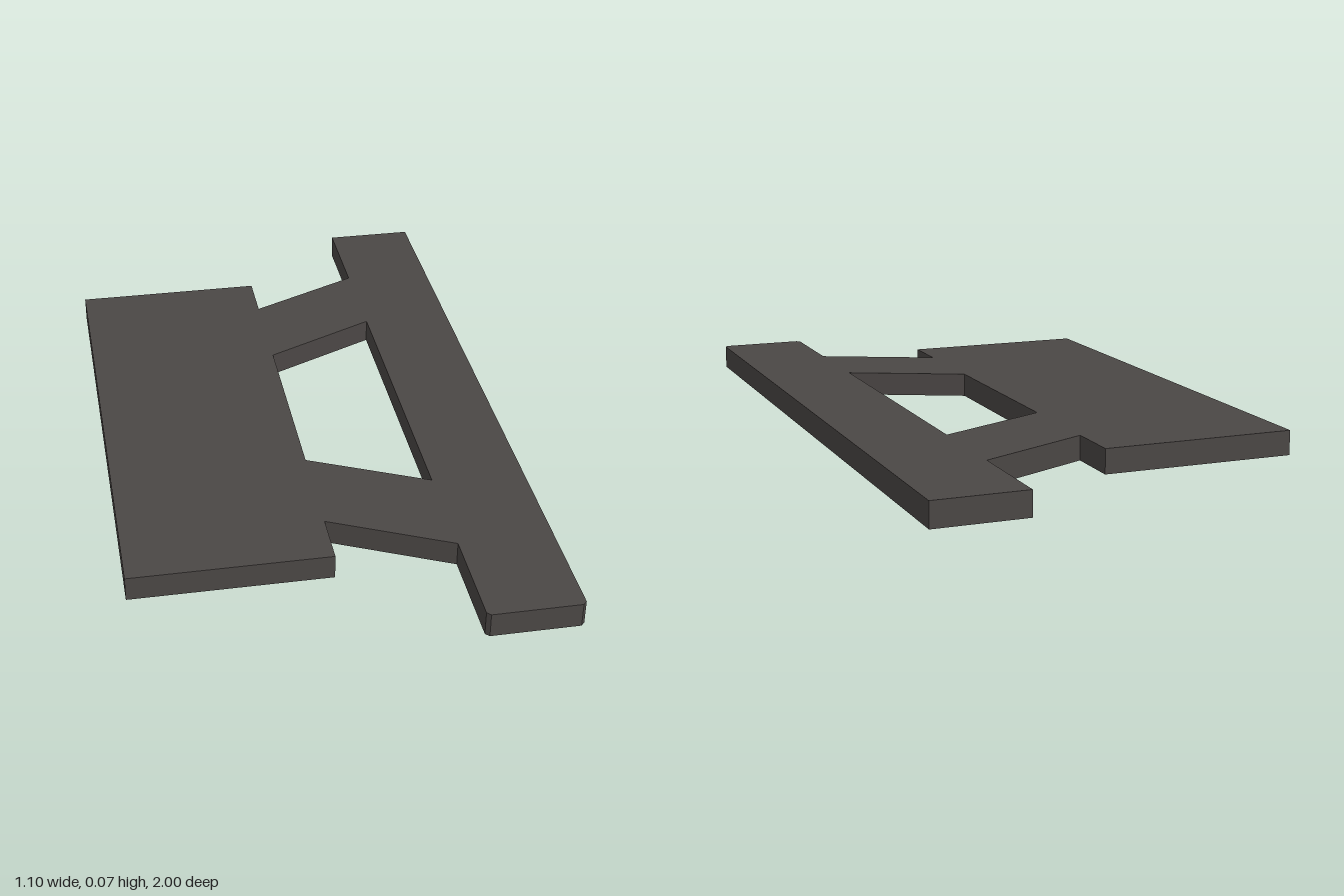
import * as THREE from 'three';

const HEIGHT = 0.067;

// Flat plate from an outline of [x, z] points, lying on y = 0
function plate(name, outline, material) {
  const shape = new THREE.Shape(outline.map(([x, z]) => new THREE.Vector2(x, z)));
  const geometry = new THREE.ExtrudeGeometry(shape, { depth: HEIGHT, bevelEnabled: false });
  geometry.rotateX(Math.PI / 2).translate(0, HEIGHT, 0);
  const mesh = new THREE.Mesh(geometry, material);
  mesh.name = name;
  return mesh;
}

export function createModel() {
  const group = new THREE.Group();
  group.name = 'bracketPlate';
  const darkGrey = new THREE.MeshStandardMaterial({ color: 0x4b4745 });
  darkGrey.name = 'darkGrey';

  const left = 0.55, railInner = 0.298, panelInner = -0.02, right = -0.553;
  const c = 0.01; // small chamfer on the front corners of the rail

  // Wide panel
  group.add(plate('panel', [
    [right, -0.715], [panelInner, -0.715], [panelInner, 0.712], [right, 0.712],
  ], darkGrey));

  // Long rail
  group.add(plate('rail', [
    [railInner, -1], [left, -1], [left, 1 - c], [left - c, 1],
    [railInner + c, 1], [railInner, 1 - c],
  ], darkGrey));

  // Mirrored slanted arms joining the panel to the rail
  for (const [name, s] of [['frontArm', 1], ['backArm', -1]]) {
    group.add(plate(name, [
      [panelInner, s * 0.28], [railInner, s * 0.43],
      [railInner, s * 0.713], [panelInner, s * 0.563],
    ], darkGrey));
  }
  return group;
}
